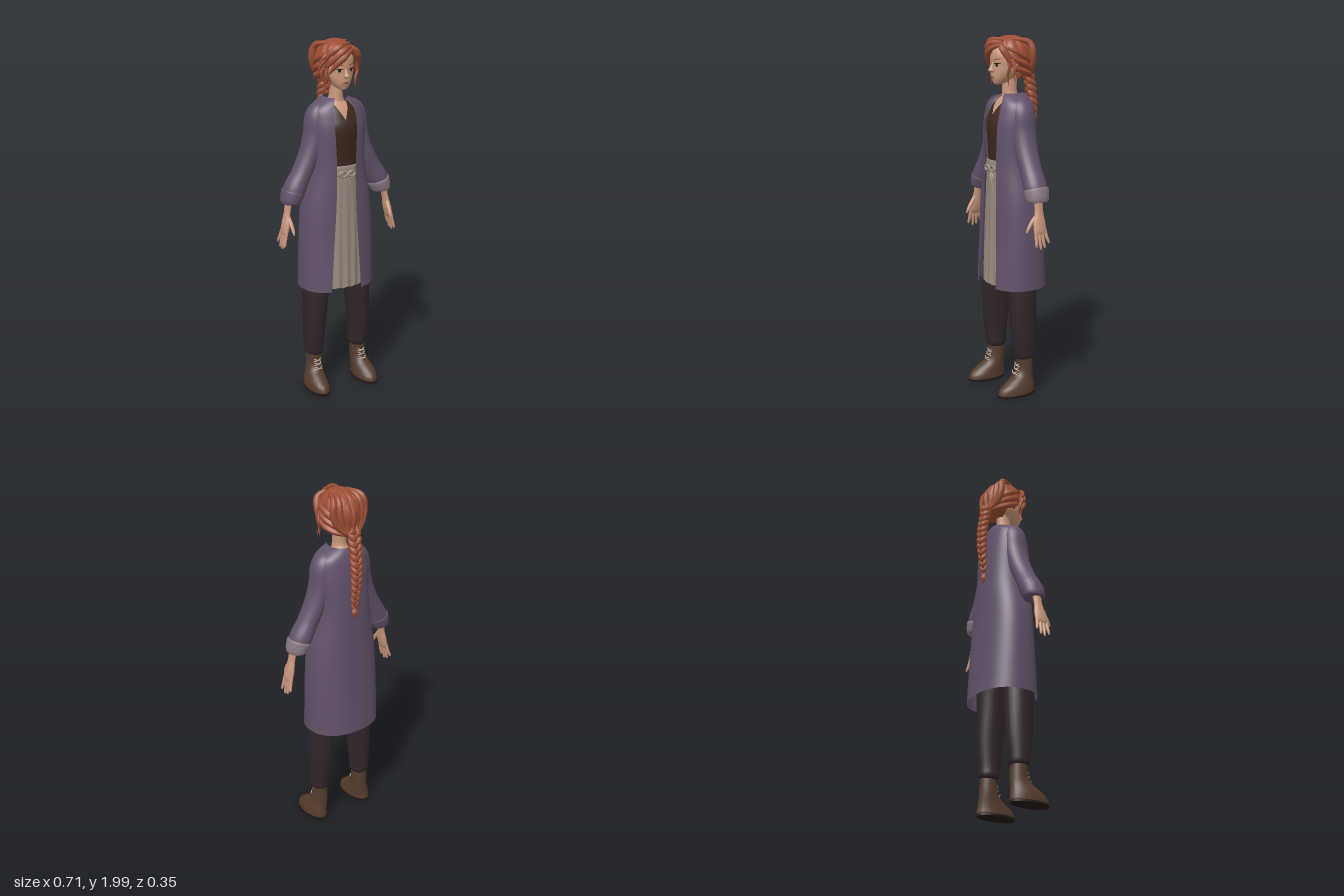
import * as THREE from 'three';
import { mergeVertices } from 'three/addons/utils/BufferGeometryUtils.js';

const V = (x, y, z) => new THREE.Vector3(x, y, z);
const spow = (v, e) => Math.sign(v) * Math.abs(v) ** e;

// Smooth a short table of rows with a Catmull-Rom rule
function dense(rows, k = 5) {
  const out = [], at = i => rows[Math.max(0, Math.min(rows.length - 1, i))];
  for (let i = 0; i < rows.length - 1; i++) {
    for (let s = 0; s < k; s++) {
      const t = s / k;
      out.push(rows[i].map((b, c) => {
        const a = at(i - 1)[c], d = at(i + 1)[c], e = at(i + 2)[c];
        return b + 0.5 * t * (d - a + t * (2 * a - 5 * b + 4 * d - e + t * (3 * (b - d) + e - a)));
      }));
    }
  }
  out.push(rows[rows.length - 1]);
  return out;
}

// Skin a list of rings (top to bottom, front edge turning towards +x)
function loft(rings, closed = true) {
  const n = rings[0].length, pts = rings.flat(), idx = [];
  for (let i = 0; i < rings.length - 1; i++) {
    for (let j = 0; j < (closed ? n : n - 1); j++) {
      const a = i * n + j, d = i * n + (j + 1) % n;
      idx.push(a, a + n, d, a + n, d + n, d);
    }
  }
  if (closed) {
    const last = (rings.length - 1) * n;
    [0, last].forEach(o => {
      const c = V(0, 0, 0);
      for (let j = 0; j < n; j++) c.addScaledVector(pts[o + j], 1 / n);
      const m = pts.push(c) - 1;
      for (let j = 0; j < n; j++) {
        const p = o + j, q = o + (j + 1) % n;
        if (o) idx.push(m, q, p); else idx.push(m, p, q);
      }
    });
  }
  const g = new THREE.BufferGeometry().setFromPoints(pts);
  g.setIndex(idx);
  g.computeVertexNormals();
  return g;
}

// Rounded limb from rows of [x, y, z, radius across, radius deep]
function limb(rows, seg = 24) {
  const r = dense(rows);
  return loft(r.map(([x, y, z, rx, rz], i) => {
    const p = r[Math.max(0, i - 1)], q = r[Math.min(r.length - 1, i + 1)];
    const dx = q[0] - p[0], dy = q[1] - p[1], l = Math.hypot(dx, dy) || 1;
    return Array.from({ length: seg }, (_, j) => {
      const a = j / seg * Math.PI * 2, s = Math.sin(a) * rx;
      return V(x - dy / l * s, y + dx / l * s, z + Math.cos(a) * rz);
    });
  }));
}
const flip = (rows, s) => rows.map(r => [r[0] * s, ...r.slice(1)]);

// Thin painted patch that hugs the front of a limb
function patch(rows, x, y0, y1, half, lift = 0.002, tilt = 0) {
  const r = dense(rows), rings = [];
  for (let i = 0; i <= 10; i++) {
    const t = i / 10, ring = [];
    for (let j = 0; j <= 10; j++) {
      const dx = half(t) * (j / 5 - 1), px = x + dx, y = y0 + (y1 - y0) * t + dx * tilt;
      let k = 0;
      while (k < r.length - 2 && r[k + 1][1] > y) k++;
      const f = (y - r[k][1]) / (r[k + 1][1] - r[k][1]);
      const [, , cz, rx, rz] = r[k].map((v, c) => v + (r[k + 1][c] - v) * f);
      ring.push(V(px, y, cz + rz * Math.sqrt(Math.max(0, 1 - (px / rx) ** 2)) + lift));
    }
    rings.push(ring);
  }
  return loft(rings, false);
}

// Tapered tube through points, thick in the middle
function lock(pts, r, ends = [0.45, 0.08], seg = 20) {
  const c = new THREE.CatmullRomCurve3(pts.map(p => V(...p)));
  const g = new THREE.TubeGeometry(c, seg, r, 8), pos = g.attributes.position, v = V(0, 0, 0);
  for (let i = 0; i < pos.count; i++) {
    const t = Math.floor(i / 9) / seg, m = c.getPointAt(t);
    const e = t < 0.4 ? THREE.MathUtils.lerp(ends[0], 1, t / 0.4) : THREE.MathUtils.lerp(1, ends[1], ((t - 0.4) / 0.6) ** 1.6);
    v.fromBufferAttribute(pos, i).sub(m).multiplyScalar(e).add(m);
    pos.setXYZ(i, v.x, v.y, v.z);
  }
  g.computeVertexNormals();
  return g;
}

export function createModel() {
  const model = new THREE.Group();
  model.name = 'woman';
  const mat = (name, color, side = THREE.FrontSide) => {
    const m = new THREE.MeshStandardMaterial({ color, side });
    m.name = name;
    return m;
  };
  const D = THREE.DoubleSide;
  const skin = mat('skin', 0xc8967a), hair = mat('copper hair', 0x9c4e33), coatM = mat('plum coat', 0x62516a, D);
  const cuffM = mat('pale cuff', 0x8a7a84, D), shirtM = mat('brown shirt', 0x3d291e), apronM = mat('linen apron', 0x988b7d, D);
  const trouserM = mat('dark trousers', 0x32262a), bootM = mat('leather boots', 0x543b2c);
  const dark = mat('near black', 0x231815), pale = mat('lace and eye', 0xb8a595);
  const add = (name, geo, m, parent = model) => {
    const mesh = new THREE.Mesh(geo, m);
    mesh.name = name;
    parent.add(mesh);
    return mesh;
  };

  // Body under the coat
  const torso = [[0, 1.665, -0.01, 0.05, 0.055], [0, 1.63, 0, 0.1, 0.08], [0, 1.58, 0, 0.13, 0.108], [0, 1.52, 0.005, 0.14, 0.122],
    [0, 1.4, 0.005, 0.14, 0.112], [0, 1.3, 0.005, 0.14, 0.105], [0, 1.1, 0, 0.15, 0.1], [0, 0.93, 0, 0.15, 0.09]];
  add('shirt', limb(torso.slice(0, 6), 32), shirtM);
  add('hips', limb(torso.slice(5), 32), trouserM);
  add('neckline', patch(torso, 0, 1.662, 1.57, t => 0.046 * (1 - t), 0.003), skin);
  add('neck', limb([[0, 1.79, 0, 0.036, 0.042], [0, 1.7, 0.006, 0.036, 0.042], [0, 1.665, 0, 0.046, 0.05], [0, 1.63, 0, 0.07, 0.06]]), skin);

  // Long open coat: rows of y, half width, front, back, left edge, right edge
  const coatRows = dense([[1.685, 0.065, 0.065, 0.075, 0.035, 0.035], [1.665, 0.1, 0.085, 0.088, 0.048, 0.05], [1.63, 0.145, 0.102, 0.1, 0.06, 0.065],
    [1.58, 0.16, 0.118, 0.11, 0.066, 0.07], [1.5, 0.163, 0.132, 0.122, 0.063, 0.068], [1.3, 0.165, 0.133, 0.132, 0.055, 0.06],
    [1.1, 0.2, 0.136, 0.142, 0.058, 0.066], [0.9, 0.212, 0.142, 0.155, 0.068, 0.08], [0.61, 0.215, 0.158, 0.175, 0.082, 0.103]]);
  const E = 0.85;
  add('coat', loft(coatRows.map(([y, w, f, b, l, r]) => {
    const a0 = Math.asin((l / w) ** (1 / E)), a1 = 2 * Math.PI - Math.asin((r / w) ** (1 / E));
    return Array.from({ length: 65 }, (_, j) => {
      const a = a0 + (a1 - a0) * j / 64, c = Math.cos(a);
      return V(w * spow(Math.sin(a), E), y, (c > 0 ? f : b) * spow(c, E));
    });
  }), false), coatM);

  // Apron with soft folds, waistband and bow
  const drape = (rows, ripple) => loft(dense(rows).map(([y, w, f]) => Array.from({ length: 81 }, (_, j) => {
    const a = (j / 40 - 1) * 1.25, k = ripple * (1.3 - y) * Math.cos(a * 21);
    return V(w * Math.sin(a), y + k * 0.8, f * Math.cos(a) + k);
  })), false);
  add('apron', drape([[1.3, 0.15, 0.12], [1.1, 0.16, 0.126], [0.9, 0.17, 0.131], [0.62, 0.175, 0.138]], 0.007), apronM);
  add('waistband', drape([[1.32, 0.15, 0.119], [1.31, 0.152, 0.124], [1.27, 0.152, 0.125], [1.26, 0.15, 0.12]], 0), apronM);
  const bow = new THREE.Group();
  bow.name = 'apronBow';
  model.add(bow);
  [-1, 1].forEach(s => add('bowLoop', lock([[0, 1.275, 0.13], [s * 0.025, 1.292, 0.136], [s * 0.05, 1.28, 0.132],
    [s * 0.03, 1.262, 0.136], [0, 1.272, 0.132]], 0.006, [1, 1]), apronM, bow));
  add('bowTail', lock([[0, 1.275, 0.13], [0.02, 1.22, 0.136], [0.045, 1.13, 0.134]], 0.008, [0.6, 0.6]), apronM, bow);
  add('bowTail', lock([[0, 1.275, 0.13], [0.035, 1.235, 0.136], [0.042, 1.2, 0.134]], 0.007, [0.6, 0.6]), apronM, bow);
  add('bowKnot', new THREE.SphereGeometry(0.01, 12, 8).translate(0, 1.273, 0.134), apronM, bow);

  // Arms and legs, mirrored
  for (const s of [1, -1]) {
    const side = s > 0 ? 'left' : 'right';
    const arm = new THREE.Group(), leg = new THREE.Group();
    arm.name = side + 'Arm';
    leg.name = side + 'Leg';
    model.add(arm, leg);
    add('sleeve', limb(flip([[0.085, 1.655, 0, 0.02, 0.035], [0.105, 1.62, 0, 0.05, 0.06], [0.12, 1.57, 0, 0.062, 0.07], [0.132, 1.48, 0, 0.06, 0.07],
      [0.165, 1.38, 0.003, 0.056, 0.066], [0.215, 1.28, 0.007, 0.054, 0.062], [0.264, 1.19, 0.01, 0.06, 0.066], [0.288, 1.125, 0.012, 0.045, 0.052]], s)), coatM, arm);
    add('cuff', limb(flip([[0.266, 1.192, 0.01, 0.058, 0.064], [0.27, 1.18, 0.01, 0.064, 0.07], [0.288, 1.135, 0.012, 0.055, 0.063], [0.291, 1.122, 0.012, 0.044, 0.052]], s)), s > 0 ? cuffM : coatM, arm);
    add('hand', limb(flip([[0.298, 1.15, 0.018, 0.02, 0.026], [0.312, 1.075, 0.022, 0.016, 0.026], [0.322, 1.02, 0.026, 0.018, 0.037],
      [0.332, 0.975, 0.027, 0.015, 0.039], [0.336, 0.955, 0.027, 0.008, 0.034]], s), 16), skin, arm);
    [[-0.002, -0.016, 0.905], [0.017, 0.01, 0.882], [0.037, 0.034, 0.876], [0.055, 0.062, 0.89]].forEach(([z0, z1, y]) =>
      add('finger', limb(flip([[0.331, 0.985, z0, 0.009, 0.01], [0.343, (0.97 + y) / 2, (z0 + z1) / 2, 0.009, 0.009],
        [0.35, y + 0.01, z1, 0.007, 0.007], [0.351, y, z1, 0.003, 0.003]], s), 8), skin, arm));
    add('thumb', limb(flip([[0.314, 1.055, 0.04, 0.011, 0.014], [0.31, 1.02, 0.066, 0.011, 0.014], [0.309, 0.985, 0.088, 0.009, 0.01], [0.309, 0.965, 0.098, 0.004, 0.004]], s), 10), skin, arm);

    add('trouserLeg', limb(flip([[0.085, 0.97, 0, 0.08, 0.09], [0.115, 0.75, 0.005, 0.08, 0.085], [0.13, 0.6, 0.008, 0.074, 0.083], [0.142, 0.4, 0.008, 0.062, 0.078],
      [0.145, 0.27, 0.006, 0.056, 0.064], [0.143, 0.22, 0.004, 0.054, 0.058], [0.143, 0.2, 0.004, 0.04, 0.045]], s)), trouserM, leg);
    add('boot', limb(flip([[0.145, 0.23, 0.003, 0.043, 0.047], [0.145, 0.15, 0.003, 0.044, 0.05], [0.147, 0.11, 0.012, 0.046, 0.06], [0.151, 0.08, 0.033, 0.051, 0.083],
      [0.156, 0.045, 0.055, 0.058, 0.109], [0.157, 0.018, 0.06, 0.06, 0.117], [0.157, 0.01, 0.06, 0.059, 0.116]], s)), bootM, leg);
    add('sole', limb(flip([[0.157, 0.012, 0.061, 0.06, 0.118], [0.157, 0, 0.061, 0.06, 0.118]], s)), dark, leg);
    for (let i = 0; i < 3; i++) {
      const y = 0.125 + i * 0.022, z = [0.073, 0.061, 0.056][i];
      [-1, 1].forEach(d => add('lace', lock([[0.145 * s - 0.022, y - d * 0.008, z - 0.008], [0.145 * s, y, z + 0.003],
        [0.145 * s + 0.022, y + d * 0.008, z - 0.008]], 0.003, [1, 1], 8), pale, leg));
    }
  }

  // Head and face
  const head = new THREE.Group();
  head.name = 'head';
  model.add(head);
  const face = [[0, 1.955, 0.01, 0.05, 0.06], [0, 1.91, 0.02, 0.08, 0.09], [0, 1.87, 0.025, 0.083, 0.092], [0, 1.83, 0.028, 0.08, 0.085],
    [0, 1.8, 0.034, 0.073, 0.08], [0, 1.77, 0.05, 0.056, 0.064], [0, 1.75, 0.062, 0.04, 0.046], [0, 1.735, 0.076, 0.02, 0.026], [0, 1.732, 0.077, 0.008, 0.012]];
  add('face', limb(face, 36), skin, head);
  add('nose', limb([[0, 1.855, 0.11, 0.005, 0.005], [0, 1.825, 0.115, 0.009, 0.014], [0, 1.808, 0.115, 0.013, 0.026], [0, 1.798, 0.112, 0.009, 0.012]], 14), skin, head);
  add('mouth', patch(face, 0, 1.778, 1.766, t => 0.02 * Math.sin(Math.PI * t), 0.003), hair, head);
  const oval = w => t => w * Math.sqrt(Math.max(0, 1 - (2 * t - 1) ** 2));
  for (const s of [-1, 1]) {
    add('eyeWhite', patch(face, s * 0.036, 1.846, 1.828, oval(0.017), 0.002, s * 0.12), pale, head);
    add('iris', patch(face, s * 0.035, 1.846, 1.829, oval(0.007), 0.004), dark, head);
    add('eyelid', patch(face, s * 0.037, 1.85, 1.844, oval(0.02), 0.005, s * 0.12), dark, head);
    add('eyebrow', patch(face, s * 0.037, 1.873, 1.867, oval(0.022), 0.003, s * 0.15), hair, head);
    add('ear', new THREE.SphereGeometry(0.018, 12, 10).scale(0.5, 1.3, 0.8).translate(s * 0.083, 1.825, 0.01), skin, head);
  }

  // Hair cap with ridges, hollowed around the face
  const hairGroup = new THREE.Group();
  hairGroup.name = 'hair';
  model.add(hairGroup);
  let cap = new THREE.SphereGeometry(1, 96, 56);
  const p = cap.attributes.position;
  for (let i = 0; i < p.count; i++) {
    const x = p.getX(i), y = p.getY(i), z = p.getZ(i), a = Math.atan2(x, z);
    let k = 0.95 + 0.06 * Math.abs(Math.sin(a * 6 + y * 1.2)) * Math.sqrt(Math.max(0, 1 - y * y));
    const py = 1.873 + y * 0.12, px = x * 0.11;
    const line = px > 0.03 ? 1.95 - 1.1 * (px - 0.03) : 1.95 - 0.8 * (0.03 - px);
    if ((z > 0.25 && py < line) || (z > -0.15 && py < 1.8)) k = 0.66;
    p.setXYZ(i, px * k, 1.873 + y * 0.127 * k, z * 0.128 * k);
  }
  cap.deleteAttribute('uv');
  cap.deleteAttribute('normal');
  cap = mergeVertices(cap, 1e-5);
  cap.computeVertexNormals();
  add('hairCap', cap, hair, hairGroup);

  // Locks gathered from the crown into the braid
  for (let k = -3; k <= 3; k++) {
    add('backLock', lock([[k * 0.018, 1.975, 0.02], [k * 0.03, 1.955, -0.065], [k * 0.033, 1.88, -0.114 + Math.abs(k) * 0.012],
      [k * 0.024, 1.81, -0.113 + Math.abs(k) * 0.008], [k * 0.006, 1.77, -0.115]], 0.021, [0.4, 0.6]), hair, hairGroup);
  }
  for (const s of [-1, 1]) {
    for (let i = 0; i < 3; i++) {
      add('sideLock', lock([[s * 0.08, 1.93 - i * 0.04, 0.07 - i * 0.012], [s * 0.105, 1.905 - i * 0.042, 0.02],
        [s * 0.085, 1.86 - i * 0.035, -0.06], [s * 0.02, 1.79 - i * 0.01, -0.115]], 0.019, [0.4, 0.5]), hair, hairGroup);
    }
  }

  // Swept fringe and loose strands around the face
  [[[0.045, 1.96, 0.085], [-0.01, 1.95, 0.122], [-0.065, 1.9, 0.105], [-0.1, 1.84, 0.065]],
    [[0.04, 1.975, 0.07], [-0.03, 1.965, 0.105], [-0.085, 1.92, 0.08], [-0.118, 1.85, 0.05]],
    [[0.045, 1.945, 0.1], [0, 1.925, 0.126], [-0.05, 1.88, 0.115], [-0.088, 1.815, 0.08]],
    [[0.035, 1.965, 0.085], [0.07, 1.935, 0.1], [0.092, 1.89, 0.08], [0.105, 1.82, 0.055]]]
    .forEach(q => add('fringe', lock(q, 0.02), hair, hairGroup));
  [[[-0.08, 1.88, 0.085], [-0.092, 1.83, 0.075], [-0.075, 1.78, 0.075], [-0.08, 1.725, 0.07]],
    [[-0.09, 1.89, 0.06], [-0.112, 1.82, 0.05], [-0.095, 1.77, 0.05], [-0.105, 1.735, 0.05]],
    [[-0.07, 1.94, 0.08], [-0.11, 1.91, 0.07], [-0.13, 1.87, 0.055], [-0.138, 1.885, 0.04]],
    [[-0.08, 1.92, 0.07], [-0.12, 1.87, 0.06], [-0.128, 1.83, 0.05], [-0.115, 1.8, 0.05]],
    [[0.08, 1.89, 0.08], [0.098, 1.83, 0.07], [0.082, 1.78, 0.07], [0.088, 1.72, 0.065]],
    [[0.095, 1.88, 0.05], [0.11, 1.82, 0.04], [0.104, 1.78, 0.045], [0.12, 1.745, 0.04]]]
    .forEach(q => add('looseStrand', lock(q, 0.008), hair, hairGroup));

  // Three-strand braid
  const braidZ = t => -0.116 - 0.03 * Math.sin(Math.PI * Math.min(1, t * 0.9));
  for (let i = 0; i < 3; i++) {
    const pts = Array.from({ length: 60 }, (_, j) => {
      const t = j / 59, w = 1 - 0.45 * t, a = t * Math.PI * 8 + i * Math.PI * 2 / 3;
      return [0.021 * w * Math.sin(a), 1.8 - 0.44 * t, braidZ(t) + 0.011 * w * Math.sin(2 * a)];
    });
    add('braidStrand', lock(pts, 0.019, [1, 0.5], 120), hair, hairGroup);
  }
  add('braidTie', new THREE.CylinderGeometry(0.013, 0.013, 0.014, 12).translate(0, 1.358, braidZ(1)), hair, hairGroup);
  add('braidEnd', lock([[0, 1.36, braidZ(1)], [0, 1.33, -0.13], [0, 1.295, -0.132]], 0.019, [0.5, 0.1]), hair, hairGroup);
  return model;
}
